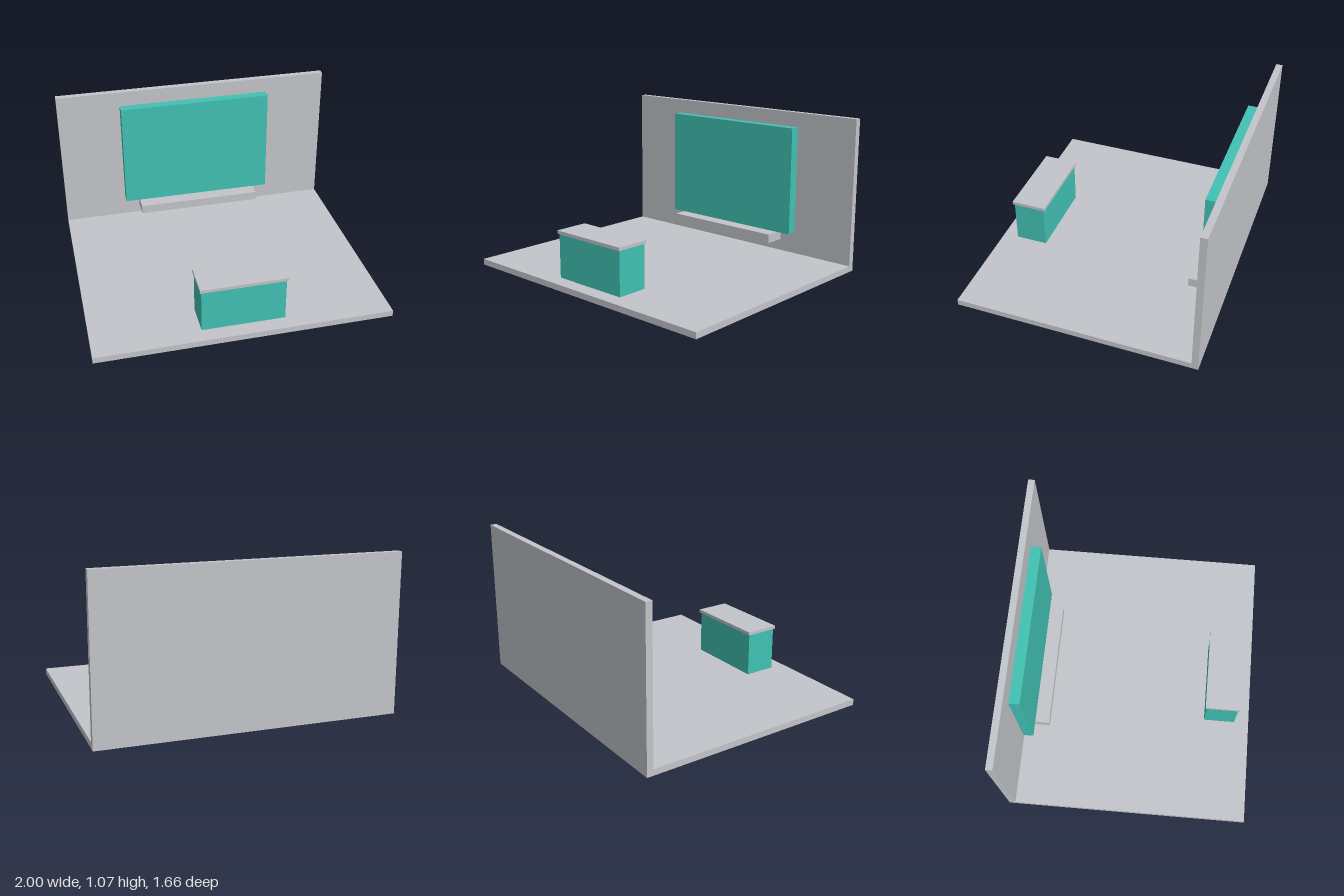
import * as THREE from 'three';

export function createModel() {
  const grey = new THREE.MeshStandardMaterial({ name: 'pale grey', color: 0xc2c5ca });
  const teal = new THREE.MeshStandardMaterial({ name: 'teal', color: 0x41c1b3 });
  const model = new THREE.Group();
  model.name = 'displayStand';

  // Box centred on x, given its width and its y and z ranges
  function slab(name, material, width, [y0, y1], [z0, z1]) {
    const mesh = new THREE.Mesh(new THREE.BoxGeometry(width, y1 - y0, z1 - z0), material);
    mesh.name = name;
    mesh.position.set(0, (y0 + y1) / 2, (z0 + z1) / 2);
    model.add(mesh);
  }

  // Stage: floor and back wall
  slab('floor', grey, 2, [0.001, 0.043], [-0.832, 0.832]);
  slab('backWall', grey, 2, [0.043, 1.07], [-0.832, -0.787]);

  // Display panel with the ledge under it
  slab('displayPanel', teal, 1.1, [0.203, 0.97], [-0.768, -0.697]);
  slab('ledge', grey, 0.894, [0.14, 0.203], [-0.598, -0.746]
    .sort((a, b) => a - b));

  // Counter, its base passing through the floor, with an overhanging top
  slab('counterBase', teal, 0.564, [0, 0.347], [0.508, 0.728]);
  slab('counterTop', grey, 0.582, [0.347, 0.37], [0.498, 0.738]);

  return model;
}
